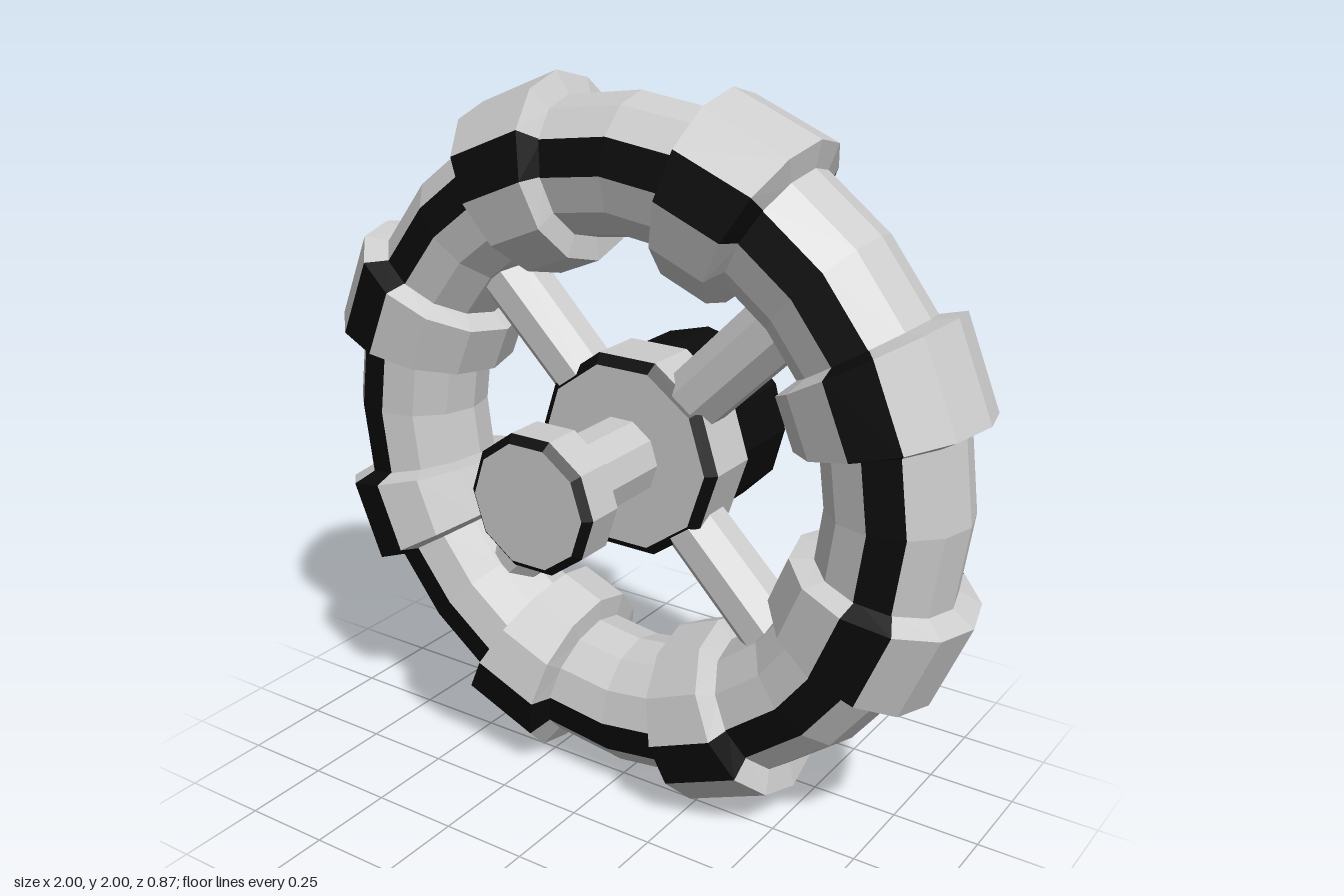
import * as THREE from 'three';

const RIM = 0.78;      // radius of the rim's centre line
const TUBE = 0.19;     // thickness radius of the rim
const BAND = 0.255;    // thickness radius of the raised bands
const SIDES = 12;      // facets around the rim's cross-section
const MID_Z = -0.08;
const rad = THREE.MathUtils.degToRad;

const grey = new THREE.MeshStandardMaterial({ color: 0xcccccc, flatShading: true });
const black = new THREE.MeshStandardMaterial({ color: 0x0b0b0b, flatShading: true });

function addMesh(parent, name, geometry, material) {
  const mesh = new THREE.Mesh(geometry, material);
  mesh.name = name;
  parent.add(mesh);
  return mesh;
}

// Point on the rim: angle around the wheel, tube radius, facet corner index
function rimPoint(deg, r, k) {
  const a = (k / SIDES) * Math.PI * 2;
  const d = RIM + r * Math.cos(a);
  return [d * Math.cos(rad(deg)), d * Math.sin(rad(deg)), r * Math.sin(a)];
}

// Skins the chosen facets along a row of [angle, tube radius] sections
function sweep(sections, facets) {
  const pos = [];
  for (let i = 0; i < sections.length - 1; i++) {
    for (const k of facets) {
      const a = rimPoint(...sections[i], k);
      const b = rimPoint(...sections[i + 1], k);
      const c = rimPoint(...sections[i + 1], k + 1);
      const d = rimPoint(...sections[i], k + 1);
      pos.push(...a, ...b, ...c, ...a, ...c, ...d);
    }
  }
  const g = new THREE.BufferGeometry();
  g.setAttribute('position', new THREE.Float32BufferAttribute(pos, 3));
  g.computeVertexNormals();
  return g;
}

// Facet just outside the front and back crest is the dark stripe
const stripeFacets = [2, 9];
const bodyFacets = [...Array(SIDES).keys()].filter((k) => !stripeFacets.includes(k));

function addStriped(parent, name, sections) {
  addMesh(parent, name, sweep(sections, bodyFacets), grey);
  addMesh(parent, name + 'Stripe', sweep(sections, stripeFacets), black);
}

// Turned part along z from a [radius, z] profile running back to front
function turned(parent, name, profile, sides, material) {
  const points = profile.map(([r, z]) => new THREE.Vector2(r, z));
  const g = new THREE.LatheGeometry(points, sides, Math.PI / 2);
  g.rotateX(Math.PI / 2);
  return addMesh(parent, name, g, material);
}

export function createModel() {
  const model = new THREE.Group();
  model.name = 'handwheel';
  const wheel = new THREE.Group();
  wheel.name = 'wheel';
  wheel.position.set(0, 1, 0);
  model.add(wheel);

  // Rim
  const rim = new THREE.Group();
  rim.name = 'rim';
  rim.position.z = MID_Z;
  wheel.add(rim);
  const ring = [];
  for (let i = 0; i <= 24; i++) ring.push([i * 15, TUBE]);
  addStriped(rim, 'rimTube', ring);

  // Raised grip bands with slightly sloping ends
  for (let i = 0; i < 8; i++) {
    const s = 15 + i * 45;
    addStriped(rim, 'gripBand', [
      [s - 1.5, TUBE - 0.01], [s, BAND], [s + 15, BAND], [s + 16.5, TUBE - 0.01],
    ]);
  }

  // Spokes
  for (let i = 0; i < 4; i++) {
    const angle = Math.PI / 4 + (i * Math.PI) / 2;
    const g = new THREE.CylinderGeometry(0.095, 0.09, 0.55, 8, 1, true);
    g.rotateY(Math.PI / 8);
    g.translate(0, 0.425, 0);
    g.rotateZ(angle - Math.PI / 2);
    addMesh(wheel, 'spoke', g, grey).position.z = MID_Z;
  }

  // Hub with a dark front bevel
  turned(wheel, 'hubBody', [[0, -0.17], [0.29, -0.17], [0.29, -0.015]], 10, grey);
  turned(wheel, 'hubBevel', [[0.29, -0.015], [0.262, 0.01]], 10, black);
  turned(wheel, 'hubFace', [[0.262, 0.01], [0, 0.01]], 10, grey);

  // Rear mount
  turned(wheel, 'mountFace', [[0, -0.44], [0.25, -0.44]], 12, grey);
  turned(wheel, 'mountSide', [[0.25, -0.44], [0.26, -0.43], [0.26, -0.16]], 12, black);

  // Shaft and knob at the front
  turned(wheel, 'shaft', [[0.115, 0], [0.115, 0.3]], 10, grey);
  turned(wheel, 'knobBack', [[0, 0.285], [0.168, 0.285]], 10, grey);
  turned(wheel, 'knobBackBevel', [[0.168, 0.285], [0.19, 0.305]], 10, black);
  turned(wheel, 'knobSide', [[0.19, 0.305], [0.19, 0.41]], 10, grey);
  turned(wheel, 'knobFrontBevel', [[0.19, 0.41], [0.168, 0.43]], 10, black);
  turned(wheel, 'knobFace', [[0.168, 0.43], [0, 0.43]], 10, grey);

  return model;
}
